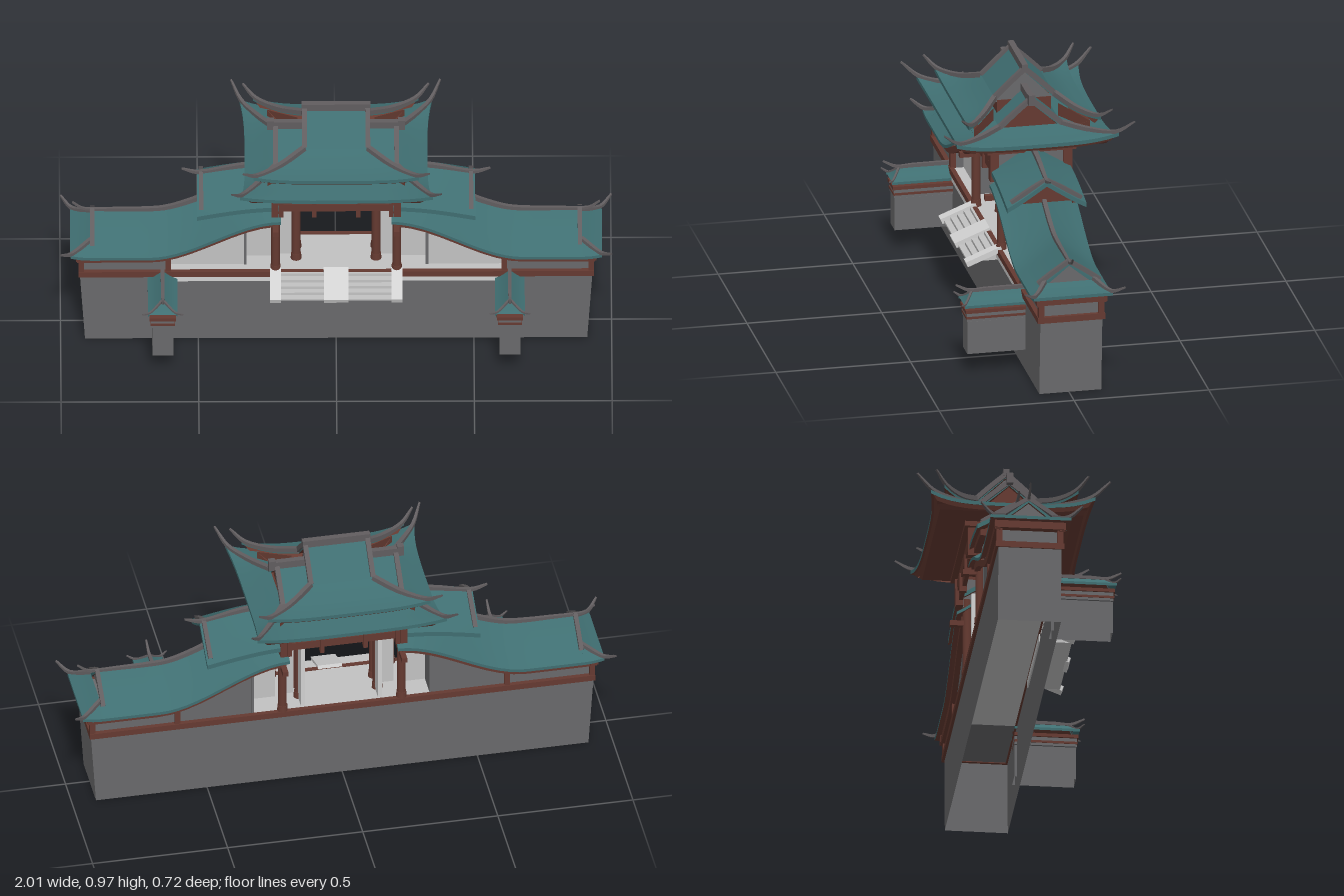
import * as THREE from 'three';

const mat = (name, color) => {
  const m = new THREE.MeshStandardMaterial({ color, side: THREE.DoubleSide });
  m.name = name;
  return m;
};
const lerp = THREE.MathUtils.lerp;

export function createModel() {
  const tile = mat('teal tile', 0x3f6e71), wood = mat('red brown wood', 0x653a31);
  const ridgeGrey = mat('ridge grey', 0x615d5f), stone = mat('dark stone', 0x69696b);
  const plaster = mat('light plaster', 0xc2c2c2), pale = mat('pale stone', 0xd2d2d2);
  const root = new THREE.Group();
  root.name = 'gatehouse';
  const body = new THREE.Group();
  body.name = 'building';
  body.position.z = -0.005;
  root.add(body);

  const add = (geo, m, name, parent = body) => {
    const mesh = new THREE.Mesh(geo, m);
    mesh.name = name;
    parent.add(mesh);
    return mesh;
  };
  // box given by its limits
  const box = (x0, x1, y0, y1, z0, z1, m, name, parent) => {
    const b = add(new THREE.BoxGeometry(Math.abs(x1 - x0), y1 - y0, Math.abs(z1 - z0)), m, name, parent);
    b.position.set((x0 + x1) / 2, (y0 + y1) / 2, (z0 + z1) / 2);
    return b;
  };
  // surface from a rule f(u, v) -> [x, y, z]
  const surf = (f, nu, nv, m, name, parent, flat) => {
    const pos = [], idx = [];
    for (let j = 0; j <= nv; j++) for (let i = 0; i <= nu; i++) pos.push(...f(i / nu, j / nv));
    for (let j = 0; j < nv; j++) for (let i = 0; i < nu; i++) {
      const a = j * (nu + 1) + i, b = a + 1, c = a + nu + 1, d = c + 1;
      idx.push(a, c, b, b, c, d);
    }
    let g = new THREE.BufferGeometry();
    g.setAttribute('position', new THREE.Float32BufferAttribute(pos, 3));
    g.setIndex(idx);
    if (flat) g = g.toNonIndexed();
    g.computeVertexNormals();
    return add(g, m, name, parent);
  };
  // tiled roof sheet with a thin rim and a wooden underside
  const slab = (f, nu, nv, t, name, parent) => {
    const low = (u, v, k = 1) => { const p = f(u, v); return [p[0], p[1] - t * k, p[2]]; };
    surf(f, nu, nv, tile, name, parent);
    surf((u, v) => low(u, v), nu, nv, wood, name + 'Underside', parent);
    for (const e of [0, 1]) {
      surf((u, v) => low(u, e, v), nu, 1, tile, name + 'Rim', parent);
      surf((u, v) => low(e, u, v), nv, 1, tile, name + 'Rim', parent);
    }
  };
  // square-section ridge along a curve, tapering from r0 to r1
  const ridge = (pts, r0, r1, name, parent) => {
    const c = new THREE.CatmullRomCurve3(pts.map(p => new THREE.Vector3(...p)));
    const up = new THREE.Vector3(0, 1, 0), n = 4 * (pts.length - 1);
    surf((u, v) => {
      const p = c.getPoint(u), t = c.getTangent(u);
      const s = new THREE.Vector3().crossVectors(t, up).normalize();
      const w = new THREE.Vector3().crossVectors(s, t), a = (v + 0.125) * Math.PI * 2;
      const r = lerp(r0, r1, u * u) * 1.4;
      return p.addScaledVector(s, Math.cos(a) * r).addScaledVector(w, Math.sin(a) * r).toArray();
    }, n, 4, ridgeGrey, name, parent, true);
  };
  // upright panel between two height rules
  const band = (x0, x1, lo, hi, z0, z1, m, name, s = 1) => {
    const N = 14, top = [], bot = [];
    for (let i = 0; i <= N; i++) {
      const x = lerp(x0, x1, i / N);
      bot.push(new THREE.Vector2(x * s, lo(x)));
      top.unshift(new THREE.Vector2(x * s, hi(x)));
    }
    const g = new THREE.ExtrudeGeometry(new THREE.Shape([...bot, ...top]), { depth: z1 - z0, bevelEnabled: false });
    add(g, m, name).position.z = z0;
  };
  const gableEnd = (x, hz, y0, y1, m, name, parent) =>
    surf((u, v) => [x, lerp(y1, y0, v), (2 * u - 1) * hz * v], 1, 1, m, name, parent);
  // flared four-sided tier between two rectangles [x, y, z]
  const tier = (a, b, name) => surf((u, v) => {
    const q = Math.round(u * 4) % 4, sx = q === 0 || q === 3 ? 1 : -1, sz = q < 2 ? 1 : -1;
    return [sx * lerp(a[0], b[0], v), lerp(a[1], b[1], v), sz * lerp(a[2], b[2], v)];
  }, 4, 1, wood, name, body, true);
  // leaves a box open below
  const openBelow = mesh => {
    const g = mesh.geometry, i = [...g.index.array];
    i.splice(18, 6);
    g.setIndex(i);
  };

  // podium, slightly wider at the top and hollow
  const podium = add(new THREE.BoxGeometry(1.86, 0.285, 0.23), stone, 'podium');
  podium.position.y = 0.1425;
  const pp = podium.geometry.attributes.position;
  for (let i = 0; i < pp.count; i++) if (pp.getY(i) < 0) pp.setX(i, pp.getX(i) * 0.98);
  openBelow(podium);
  for (const k of [1, -1]) {
    box(-0.935, 0.935, 0.282, 0.305, k * 0.108, k * 0.125, wood, 'sillBeam');
    box(k * 0.918, k * 0.935, 0.282, 0.305, -0.108, 0.108, wood, 'endSill');
  }
  box(-0.6, 0.6, 0.284, 0.302, -0.108, 0.108, plaster, 'floor');
  box(-0.6, 0.6, 0.262, 0.282, 0.115, 0.123, pale, 'frontLedge');

  // height of the wing eave and of the upper wing eave
  const eave = x => 0.385 + 0.16 * (1 - THREE.MathUtils.smoothstep(x, 0.2, 0.68));
  const upperEave = x => 0.568 + 0.042 * Math.sin((0.51 - x) / 0.31 * Math.PI / 2);
  const HZ = 0.147;

  // wing walls, posts and curved beams
  for (const s of [1, -1]) {
    const hi = x => eave(x) - 0.005;
    band(0.6, 0.92, () => 0.285, hi, -0.108, 0.108, stone, 'endBlock', s);
    band(0.33, 0.6, () => 0.3, hi, 0.065, 0.072, plaster, 'wingWallFront', s);
    band(0.33, 0.6, () => 0.3, hi, -0.105, 0.065, stone, 'wingWallBack', s);
    band(0.23, 0.33, () => 0.3, x => eave(x) + 0.02, -0.02, 0.02, plaster, 'innerWall', s);
    box(s * 0.325, s * 0.335, 0.3, 0.51, -0.107, 0.076, stone, 'wallPost');
    for (const k of [1, -1]) {
      const z = k * 0.118;
      band(0.22, 0.94, x => eave(x) - 0.035, x => eave(x) - 0.008, z - 0.01, z + 0.01, wood, 'curvedBeam', s);
      band(0.22, 0.45, x => upperEave(x) - 0.03, x => upperEave(x) - 0.005, z - 0.012, z + 0.012, wood, 'upperBeam', s);
      for (const x of [0.925, 0.61])
        box(s * (x - 0.01), s * (x + 0.01), 0.3, 0.37, k * 0.1, k * 0.122, wood, 'wingPost');
    }
    box(s * 0.915, s * 0.945, 0.355, 0.383, -0.13, 0.13, wood, 'endBeam');
    box(s * 0.22, s * 0.42, 0.55, 0.6, -0.07, 0.07, wood, 'upperWingCore');
  }

  // wing roofs, the second one turned half round
  for (const turn of [0, Math.PI]) {
    const w = new THREE.Group();
    w.name = turn ? 'rightWingRoof' : 'leftWingRoof';
    w.rotation.y = turn;
    body.add(w);
    const iz = 0.09, drop = 0.036, yE = 0.385;
    for (const k of [1, -1]) {
      slab((u, v) => { const x = lerp(0.2, 0.89, u); return [x, eave(x) + 0.11 * (1 - v) ** 1.15, k * HZ * v]; },
        20, 5, 0.012, 'wingSlope', w);
      slab((u, v) => [lerp(0.89, 0.965, u), yE + drop * (1 - u) * (1 - v) + 0.01 * u * u,
        k * lerp(lerp(iz, HZ, u), HZ, v)], 4, 1, 0.012, 'wingCornerSlope', w);
      slab((u, v) => { const x = lerp(0.2, 0.505, u); return [x, upperEave(x) + 0.092 * (1 - v) ** 1.1, k * HZ * v]; },
        8, 4, 0.018, 'upperWingSlope', w);
      ridge([[0.885, 0.5, 0], [0.885, 0.46, k * 0.06], [0.885, 0.42, k * 0.115]], 0.008, 0.008, 'wingVerge', w);
      ridge([[0.89, 0.428, k * iz], [0.96, 0.4, k * 0.142], [1, 0.425, k * 0.185]], 0.007, 0.003, 'wingHip', w);
      ridge([[0.49, 0.664, 0], [0.49, 0.63, k * 0.06], [0.49, 0.585, k * 0.13]], 0.008, 0.008, 'upperVerge', w);
    }
    slab((u, v) => [lerp(0.89, 0.965, u), yE + drop * (1 - u) + 0.01 * u * u, (2 * v - 1) * lerp(iz, HZ, u)],
      4, 2, 0.012, 'wingEndSlope', w);
    gableEnd(0.88, 0.09, 0.415, 0.485, stone, 'wingGable', w);
    gableEnd(0.46, 0.125, 0.565, 0.645, wood, 'upperWingGable', w);
    const line = [];
    for (let i = 0; i <= 8; i++) { const x = lerp(0.2, 0.88, i / 8); line.push([x, eave(x) + 0.113, 0]); }
    ridge([...line, [0.92, 0.503, 0], [0.957, 0.53, 0]], 0.009, 0.003, 'wingRidge', w);
    ridge([[0.2, 0.704, 0], [0.35, 0.692, 0], [0.5, 0.664, 0], [0.56, 0.68, 0]], 0.009, 0.003, 'upperWingRidge', w);
  }

  // hip-and-gable roof with upswept corners
  const hippedRoof = (name, o) => {
    const g = new THREE.Group();
    g.name = name;
    body.add(g);
    const edge = v => [lerp(o.hx, o.ox, v), lerp(o.yi, o.yo, v) - o.sag * Math.sin(Math.PI * v), lerp(o.hz, o.oz, v)];
    for (const k of [1, -1]) {
      slab((u, v) => [(2 * u - 1) * o.hx, lerp(o.yTop, o.yi, v), k * o.hz * v], 2, 2, 0.014, 'upperSlope', g);
      const skirt = side => {
        const f = (u, v) => {
          const w = 2 * u - 1, c = edge(v), b = v * v * (1 - w ** 4), y = c[1] - o.lift * b;
          return side ? [k * (c[0] - o.bow * b), y, w * c[2]] : [w * c[0], y, k * (c[2] - o.bow * b)];
        };
        slab(f, 16, 6, 0.014, side ? 'sideSkirt' : 'eaveSkirt', g);
        // wooden fascia following the eave
        surf((u, v) => { const p = f(u, 0.95 - 0.08 * v); return [p[0], p[1] - 0.012 - 0.018 * v, p[2]]; },
          16, 1, wood, 'eaveFascia', g);
      };
      skirt(false);
      if (o.sides) skirt(true);
      gableEnd(k * (o.hx - 0.012), o.hz, o.yi - 0.02, o.yTop - 0.012, o.gable, 'gable', g);
      for (const s of [1, -1]) {
        const at = p => [s * p[0], p[1] + 0.004, k * p[2]];
        ridge([[s * o.hx, o.yTop, 0], at([o.hx, lerp(o.yTop, o.yi, 0.5), o.hz / 2]), at(edge(0))], 0.009, 0.009, 'verge', g);
        ridge([at(edge(0)), at(edge(0.5)), at(edge(0.95)), [s * o.tip[0], o.tip[1], k * o.tip[2]]], 0.009, 0.003, 'hipRidge', g);
      }
    }
    box(-o.rx, o.rx, o.yTop - 0.01, o.yTop + 0.018, -0.011, 0.011, ridgeGrey, 'topRidge', g);
  };
  hippedRoof('lowerMainRoof', { hx: 0.22, hz: 0.115, yTop: 0.875, yi: 0.772, ox: 0.35, oz: 0.3, yo: 0.77,
    bow: 0.018, lift: 0.03, sag: 0.01, tip: [0.38, 0.82, 0.353], sides: true, gable: wood, rx: 0.24 });
  hippedRoof('upperMainRoof', { hx: 0.115, hz: 0.11, yTop: 0.955, yi: 0.848, ox: 0.3, oz: 0.245, yo: 0.818,
    bow: 0.01, lift: 0.024, sag: 0.016, tip: [0.338, 0.857, 0.278], sides: false, gable: stone, rx: 0.125 });
  box(-0.105, 0.105, 0.76, 0.835, -0.1, 0.1, wood, 'roofCore');
  for (const s of [1, -1]) {
    surf((u, v) => [(2 * u - 1) * lerp(0.2, 0.25, v), lerp(0.75, 0.785, v), s * lerp(0.165, 0.215, v)],
      1, 1, wood, 'upperEaveBracket');
    surf((u, v) => [s * lerp(0.14, 0.25, u), lerp(0.755, lerp(0.82, 0.785, u), v), lerp(0.12, 0.215, u)],
      1, 1, wood, 'upperEaveCheek');
    surf((u, v) => [s * lerp(0.14, 0.25, u), lerp(0.755, lerp(0.82, 0.785, u), v), -lerp(0.12, 0.215, u)],
      1, 1, wood, 'upperEaveCheek');
    for (const k of [1, -1]) box(s * 0.225, s * 0.25, 0.86, 0.9, k * 0.012, 0, ridgeGrey, 'ridgeStop');
  }

  // flared bracket tiers below the eaves
  tier([0.235, 0.695, 0.165], [0.305, 0.715, 0.262], 'bracketTier');
  tier([0.305, 0.715, 0.262], [0.318, 0.73, 0.272], 'bracketRim');

  // gate frame: upper beams, side panels and columns
  for (const k of [1, -1]) {
    box(-0.25, 0.25, 0.68, 0.71, k * 0.135, k * 0.165, wood, 'topBeam');
    box(-0.235, 0.235, 0.625, 0.672, k * 0.12, k * 0.145, wood, 'lintel');
    box(-0.22, 0.22, 0.588, 0.618, k * 0.125, k * 0.14, wood, 'lowerLintel');
    box(-0.22, 0.22, 0.6, 0.69, k * 0.122, k * 0.13, wood, 'lintelPanel');
    box(k * 0.21, k * 0.25, 0.68, 0.71, -0.165, 0.165, wood, 'sideTopBeam');
    box(k * 0.21, k * 0.225, 0.57, 0.68, -0.125, 0.125, stone, 'sidePanel');
    box(k * 0.16, k * 0.21, 0.3, 0.6, -0.01, 0.01, plaster, 'doorSidePanel');
    box(k * 0.135, k * 0.15, 0.305, 0.59, -0.1, -0.03, pale, 'openDoorLeaf');
    box(k * 0.11, k * 0.24, 0.575, 0.6, -0.03, 0.03, wood, 'doorHeadBeam');
    box(k * 0.21, k * 0.23, 0.495, 0.515, -0.17, 0.17, wood, 'tieBeam');
    for (const s of [1, -1]) {
      for (const [x, z] of [[0.22, 0.108], [0.145, 0.035]]) {
        const c = add(new THREE.CylinderGeometry(0.016, 0.016, 0.3, 12), wood, 'column');
        c.position.set(s * x, 0.45, k * z);
        const b = add(new THREE.CylinderGeometry(0.018, 0.02, 0.025, 12), wood, 'columnBase');
        b.position.set(s * x, 0.315, k * z);
      }
      box(s * 0.21, s * 0.235, 0.57, 0.69, k * 0.122, k * 0.152, wood, 'cornerPost');
      for (const x of [0.08, 0.2]) box(s * (x - 0.008), s * (x + 0.008), 0.568, 0.64, k * 0.124, k * 0.15, wood, 'pendant');
    }
  }

  // front stairs with three sloping slabs
  for (let i = 0; i < 5; i++)
    box(-0.2, 0.2, 0.252, 0.303 - i * 0.011, 0.11 + i * 0.024, 0.134 + i * 0.024, plaster, 'step');
  for (const [x, hw] of [[-0.22, 0.02], [0, 0.045], [0.22, 0.02]])
    box(x - hw, x + hw, 0.272, 0.292, 0.105, 0.245, pale, 'stairSlab').rotation.x = 0.38;

  // projecting side walls with small tiled roofs
  for (const s of [1, -1]) {
    const w = new THREE.Group();
    w.name = 'projectingWall';
    w.position.x = s * 0.63;
    root.add(w);
    openBelow(box(-0.038, 0.038, 0.08, 0.205, 0.1, 0.325, stone, 'wallBody', w));
    box(-0.042, 0.042, 0.207, 0.217, 0.1, 0.328, stone, 'lowerTrim', w);
    box(-0.044, 0.044, 0.217, 0.226, 0.1, 0.33, wood, 'middleTrim', w);
    box(-0.042, 0.042, 0.226, 0.24, 0.1, 0.328, stone, 'upperTrim', w);
    box(-0.048, 0.048, 0.24, 0.253, 0.1, 0.333, wood, 'topTrim', w);
    const capY = v => 0.273 + 0.038 * (1 - v) ** 1.3;
    for (const k of [1, -1]) {
      slab((u, v) => [k * 0.054 * v, capY(v), lerp(0.1, lerp(0.3, 0.338, v), u)], 4, 4, 0.01, 'capSlope', w);
      ridge([[0, 0.311, 0.3], [k * 0.045, 0.278, 0.332], [k * 0.074, 0.283, 0.352]], 0.004, 0.002, 'capHip', w);
    }
    surf((u, v) => [(2 * u - 1) * 0.054 * v, capY(v), lerp(0.3, 0.338, v)], 2, 4, tile, 'capEnd', w);
    ridge([[0, 0.314, 0.1], [0, 0.314, 0.25], [0, 0.314, 0.31], [0, 0.338, 0.36]], 0.007, 0.003, 'capRidge', w);
  }
  return root;
}
